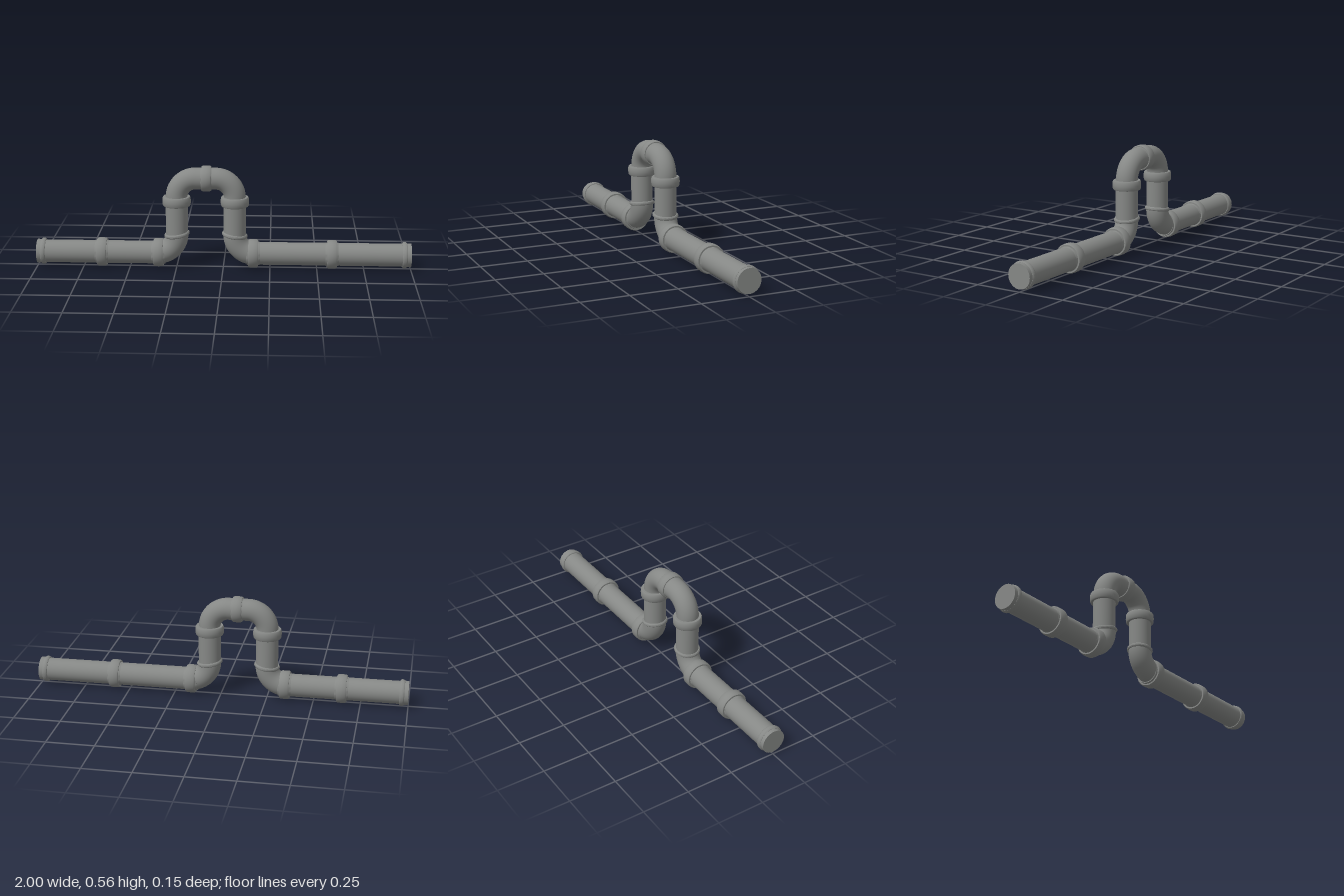
import * as THREE from 'three';
import { toCreasedNormals } from 'three/addons/utils/BufferGeometryUtils.js';

const LOW = 0.078, HIGH = 0.488;      // heights of the horizontal axes
const LEFT = -0.248, RIGHT = 0.061;   // x of the two risers
const BEND = 0.102;                   // elbow centre-line radius
const SEGMENTS = 40;

export function createModel() {
  const model = new THREE.Group();
  model.name = 'pipeRun';
  const metal = new THREE.MeshStandardMaterial({ color: 0x868886 });
  metal.name = 'grey metal';

  function add(name, geometry, x, y, angle = 0) {
    const mesh = new THREE.Mesh(geometry, metal);
    mesh.name = name;
    mesh.position.set(x, y, 0);
    mesh.rotation.z = angle;
    model.add(mesh);
  }

  // Ring turned from a [radius, height] profile, closed towards the axis
  function ring(profile) {
    const points = profile.map(([r, h]) => new THREE.Vector2(r, h));
    return toCreasedNormals(new THREE.LatheGeometry(points, SEGMENTS), 0.6);
  }

  const collarProfile = (r, h) => ring([
    [0.05, -h], [r - 0.005, -h], [r - 0.001, -h * 0.75], [r, 0],
    [r - 0.001, h * 0.75], [r - 0.005, h], [0.05, h],
  ]);
  const beadProfile = (r, h) => ring([
    [0.05, -h], [r - 0.006, -h], [r - 0.001, -h * 0.5], [r, 0],
    [r - 0.001, h * 0.5], [r - 0.006, h], [0.05, h],
  ]);
  // Thin raised lip beside each coupling
  const lipProfile = () => beadProfile(0.067, 0.036);

  function pipe(name, radius, length, x, y, angle = 0) {
    add(name, new THREE.CylinderGeometry(radius, radius, length, SEGMENTS), x, y, angle);
  }
  const quarter = Math.PI / 2;

  // Horizontal runs with closed ends
  const leftInner = LEFT - BEND, rightInner = RIGHT + BEND;
  pipe('leftRun', 0.061, leftInner + 1, (leftInner - 1) / 2, LOW, quarter);
  pipe('rightRun', 0.061, 1 - rightInner, (rightInner + 1) / 2, LOW, quarter);
  for (const side of [-1, 1]) {
    pipe('endSleeve', 0.0635, 0.045, side * 0.9775, LOW, quarter);
    add('endBead', beadProfile(0.0705, 0.013), side * 0.966, LOW, quarter);
  }

  // Couplings on the horizontal runs
  for (const x of [-0.65, -0.347, 0.16, 0.58]) {
    add('runCollar', collarProfile(0.0765, 0.026), x, LOW, quarter);
    add('runLip', lipProfile(), x, LOW, quarter);
  }

  // Risers with their upper collars and slightly tilted lower beads
  const bottom = LOW + BEND, top = HIGH - BEND;
  for (const [x, tilt] of [[LEFT, 0.14], [RIGHT, -0.14]]) {
    pipe('riser', 0.059, top - bottom, x, (top + bottom) / 2);
    add('riserCollar', collarProfile(0.0755, 0.025), x, 0.365);
    add('riserBead', beadProfile(0.069, 0.01), x, 0.181, tilt);
  }

  // Quarter-turn elbows: centre x, centre y, start angle, tube radius
  const elbows = [
    ['leftLowerElbow', leftInner, bottom, -quarter, 0.061],
    ['rightLowerElbow', rightInner, bottom, Math.PI, 0.061],
    ['leftUpperElbow', LEFT + BEND, top, quarter, 0.058],
    ['rightUpperElbow', RIGHT - BEND, top, 0, 0.058],
  ];
  for (const [name, x, y, start, r] of elbows) {
    add(name, new THREE.TorusGeometry(BEND, r, SEGMENTS, 20, quarter), x, y, start);
  }

  // Bridge joining the upper elbows
  const middle = (LEFT + RIGHT) / 2;
  pipe('bridge', 0.058, RIGHT - LEFT - 2 * BEND, middle, HIGH, quarter);
  add('bridgeCollar', collarProfile(0.069, 0.026), middle + 0.004, HIGH, quarter);
  add('bridgeLip', beadProfile(0.063, 0.034), middle + 0.004, HIGH, quarter);

  return model;
}
